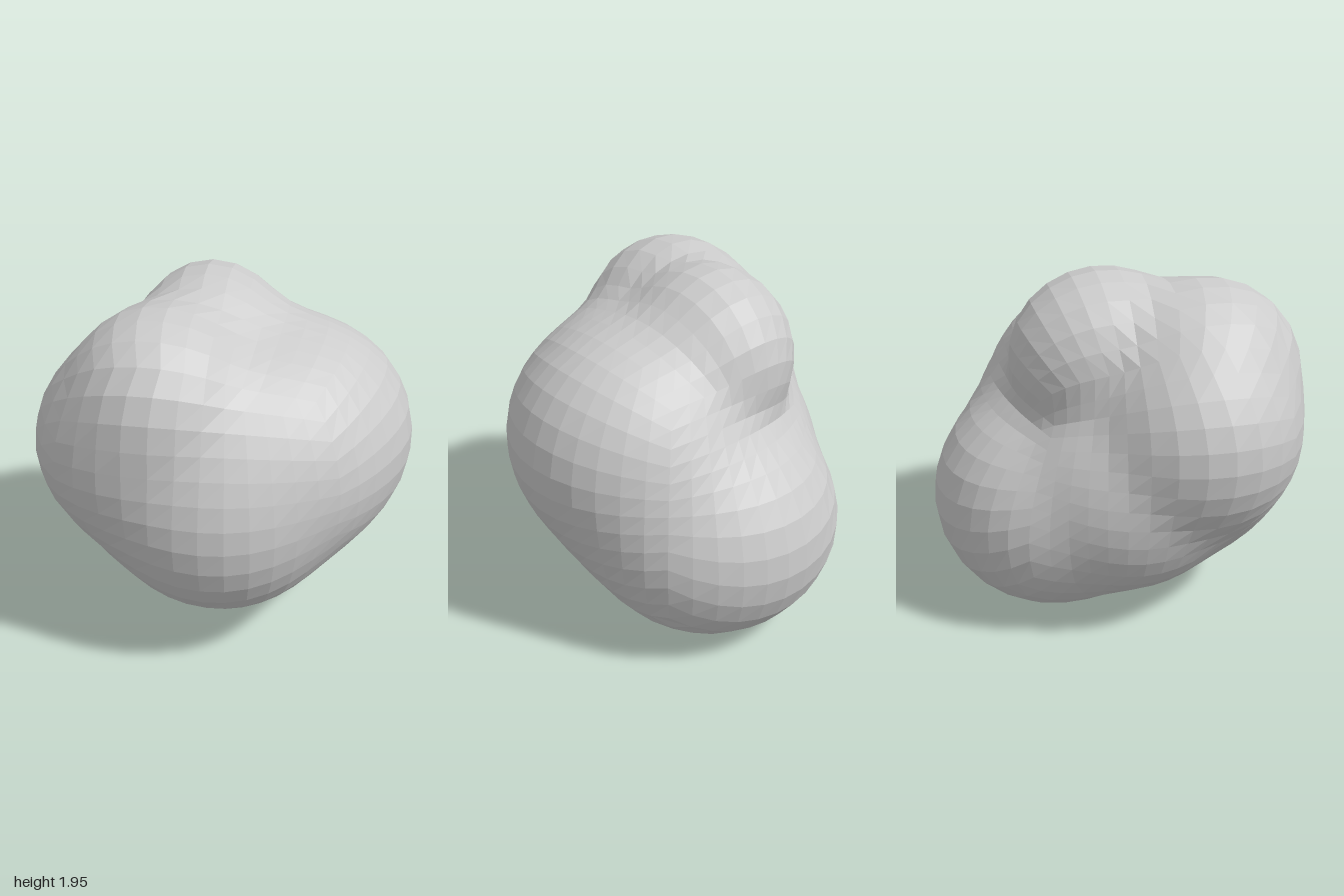
import * as THREE from 'three';

// Lobes of the lump: centre x, y, z and radii x, y, z
const LOBES = [
  [0.05, 0.62, -0.35, 0.70, 0.62, 0.65], // low back
  [0.36, 1.08, 0.00, 0.625, 0.62, 0.62], // left side
  [-0.31, 1.44, 0.42, 0.46, 0.48, 0.51], // upper right front
  [-0.40, 1.15, 0.36, 0.595, 0.58, 0.56], // right side
  [-0.13, 1.50, -0.09, 0.42, 0.46, 0.49], // crown
  [0.00, 0.87, 0.36, 0.64, 0.65, 0.64], // belly
  // Fuller flesh between neighbouring lobes
  [-0.22, 0.80, 0.02, 0.61, 0.62, 0.61], // right side to low back
  [0.06, 0.72, 0.00, 0.61, 0.62, 0.61], // belly to low back
  [0.25, 0.84, -0.15, 0.61, 0.61, 0.61], // left side to low back
  [0.25, 1.04, 0.20, 0.62, 0.62, 0.62], // left side to belly
  [0.10, 1.28, -0.05, 0.47, 0.48, 0.47], // left side to crown
  [-0.22, 0.98, 0.36, 0.56, 0.56, 0.56], // right side to belly
  [0.00, 1.16, 0.32, 0.53, 0.53, 0.53], // upper front hollow
];
const CENTRE = new THREE.Vector3(-0.02, 1, 0);
const BLEND = 0.05;

// Smoothly blended distance to all the lobes
function field(p) {
  let sum = 0;
  for (const [x, y, z, a, b, c] of LOBES) {
    const q = Math.hypot((p.x - x) / a, (p.y - y) / b, (p.z - z) / c);
    sum += Math.exp(-((q - 1) * (a + b + c)) / 3 / BLEND);
  }
  return -BLEND * Math.log(sum);
}

// Point where a ray from the centre leaves the lump
function project(dir) {
  const p = new THREE.Vector3();
  let near = 0, far = 2;
  for (let i = 0; i < 30; i++) {
    const mid = (near + far) / 2;
    p.copy(CENTRE).addScaledVector(dir, mid);
    if (field(p) < 0) near = mid;
    else far = mid;
  }
  return p;
}

export function createModel() {
  // A gridded cube, evened out into a sphere and pushed onto the blended lobes
  const n = 12;
  const geometry = new THREE.BoxGeometry(2, 2, 2, n, n, n);
  const pos = geometry.attributes.position;
  const even = (t) => Math.tan((t * Math.PI) / 4);
  for (let i = 0; i < pos.count; i++) {
    const dir = new THREE.Vector3(even(pos.getX(i)), even(pos.getY(i)), even(pos.getZ(i))).normalize();
    const p = project(dir);
    pos.setXYZ(i, p.x, p.y, p.z);
  }
  geometry.computeVertexNormals();

  const lump = new THREE.Mesh(
    geometry,
    new THREE.MeshStandardMaterial({ color: 0xcccccc, flatShading: true })
  );
  lump.name = 'lump';

  const model = new THREE.Group();
  model.name = 'lobedLump';
  model.add(lump);
  return model;
}
